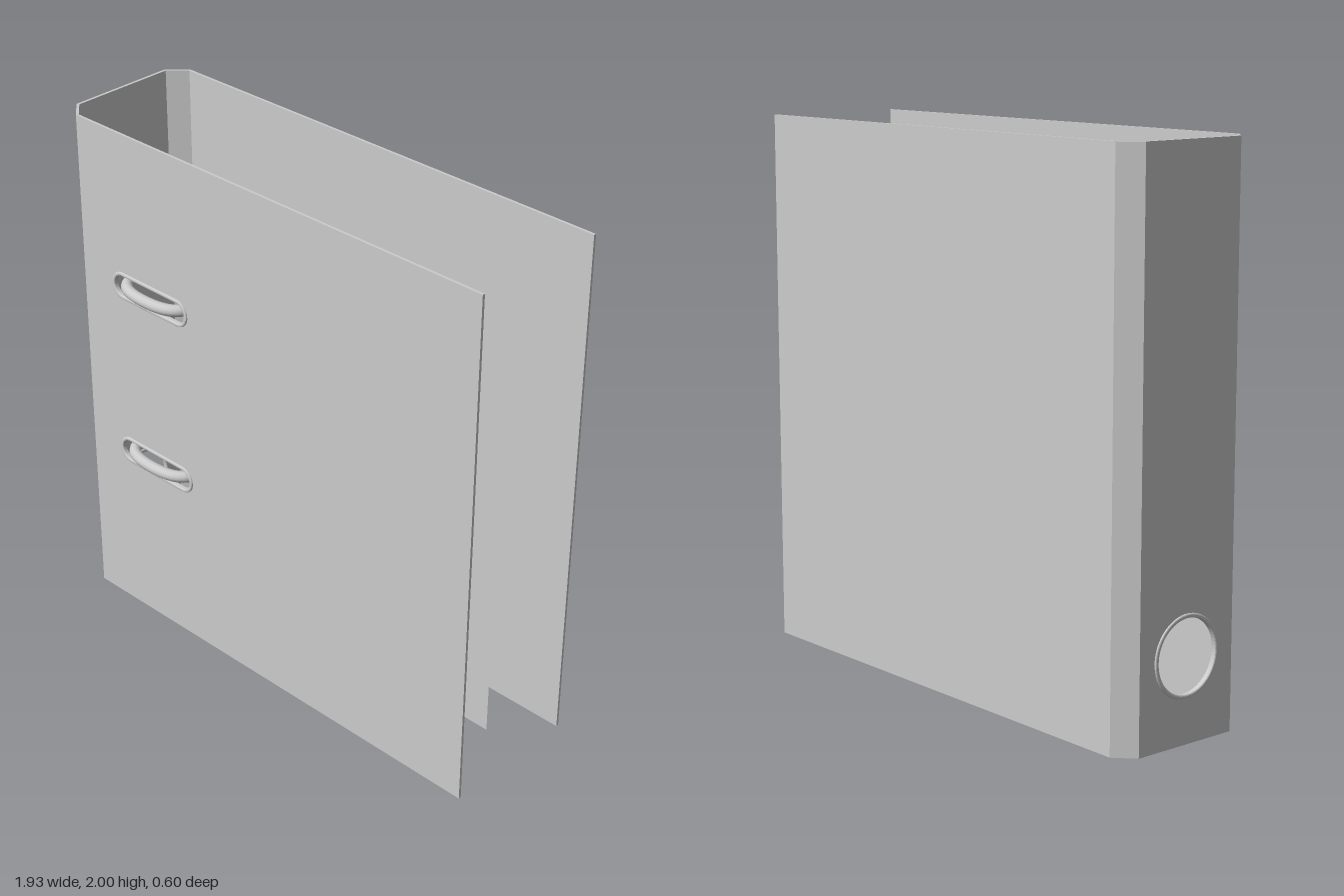
import * as THREE from 'three';

const HEIGHT = 2, BOARD = 0.01;
const RING_X = -0.546, RING_YS = [0.7, 1.4], RING_Z = 0.03;
const MID_Z = -0.023, HOLE_Y = 0.305;

const grey = new THREE.MeshStandardMaterial({ color: 0xcccccc });
const greyDouble = new THREE.MeshStandardMaterial({ color: 0xcccccc, side: THREE.DoubleSide });

function add(parent, name, geometry, material = grey) {
  const mesh = new THREE.Mesh(geometry, material);
  mesh.name = name;
  parent.add(mesh);
  return mesh;
}

// Stadium outline; equal half sizes give a circle
function stadium(target, cx, cy, halfW, halfH) {
  const d = halfW - halfH;
  target.absarc(cx + d, cy, halfH, -Math.PI / 2, Math.PI / 2, false);
  target.absarc(cx - d, cy, halfH, Math.PI / 2, Math.PI * 1.5, false);
  target.closePath();
  return target;
}

// Upright board between two plan points [x, z], outer face on the line
function board(parent, name, [x0, z0], [x1, z1], holes = []) {
  const w = Math.hypot(x1 - x0, z1 - z0);
  const shape = new THREE.Shape();
  shape.moveTo(0, 0).lineTo(w, 0).lineTo(w, HEIGHT).lineTo(0, HEIGHT).closePath();
  for (const h of holes) shape.holes.push(stadium(new THREE.Path(), ...h));
  const geometry = new THREE.ExtrudeGeometry(shape, { depth: BOARD, bevelEnabled: false, curveSegments: 16 });
  geometry.translate(0, 0, -BOARD);
  const mesh = add(parent, name, geometry);
  mesh.position.set(x0, 0, z0);
  mesh.rotation.y = Math.atan2(z0 - z1, x1 - x0);
}

// Metal eyelet with softened edges, centred on its own origin
function eyelet(outerW, outerH, rim) {
  const shape = stadium(new THREE.Shape(), 0, 0, outerW, outerH);
  shape.holes.push(stadium(new THREE.Path(), 0, 0, outerW - rim, outerH - rim));
  const b = 0.005;
  const geometry = new THREE.ExtrudeGeometry(shape, {
    depth: 0.011, bevelThickness: b, bevelSize: b, bevelOffset: -b, bevelSegments: 2, curveSegments: 16,
  });
  return geometry.translate(0, 0, -0.0055);
}

// Closed ring path in plan: straight legs with softly curved ends
function ringPath() {
  const path = new THREE.CurvePath();
  const w = 0.156, l = 0.245, s = 0.14;
  const v = (x, z) => new THREE.Vector3(x, 0, z);
  path.add(new THREE.LineCurve3(v(w, -s), v(w, s)));
  path.add(new THREE.CubicBezierCurve3(v(w, s), v(w, 0.22), v(0.1, l), v(0, l)));
  path.add(new THREE.CubicBezierCurve3(v(0, l), v(-0.1, l), v(-w, 0.22), v(-w, s)));
  path.add(new THREE.LineCurve3(v(-w, s), v(-w, -s)));
  path.add(new THREE.CubicBezierCurve3(v(-w, -s), v(-w, -0.22), v(-0.1, -l), v(0, -l)));
  path.add(new THREE.CubicBezierCurve3(v(0, -l), v(0.1, -l), v(w, -0.22), v(w, -s)));
  return path;
}

export function createModel() {
  const model = new THREE.Group();
  model.name = 'ringBinder';

  // Cover: back board, chamfered spine and front board
  const cover = new THREE.Group();
  cover.name = 'cover';
  model.add(cover);
  const plan = [[0.965, -0.3], [-0.893, -0.3], [-0.962, -0.235], [-0.962, 0.187], [-0.893, 0.25], [0.965, 0.25]];
  const names = ['backCover', 'backSpineFold', 'spine', 'frontSpineFold', 'frontCover'];
  const holes = {
    spine: [[MID_Z - plan[2][1], HOLE_Y, 0.138, 0.138]],
    frontCover: RING_YS.map((y) => [RING_X - plan[4][0], y, 0.186, 0.046]),
  };
  names.forEach((name, i) => board(cover, name, plan[i], plan[i + 1], holes[name]));

  // Finger hole eyelet in the spine
  const finger = add(model, 'fingerHoleEyelet', eyelet(0.146, 0.146, 0.016));
  finger.position.set(-0.957, HOLE_Y, MID_Z);
  finger.rotation.y = -Math.PI / 2;

  // Rings, each passing through an eyelet in the front cover
  const ringGeometry = new THREE.TubeGeometry(ringPath(), 72, 0.022, 12, true);
  const slotGeometry = eyelet(0.194, 0.054, 0.014);
  for (const y of RING_YS) {
    add(model, 'bindingRing', ringGeometry).position.set(RING_X, y, RING_Z);
    add(model, 'ringSlotEyelet', slotGeometry).position.set(RING_X, y, 0.246);
  }

  // Paper sheet held by the rings
  const sheet = add(model, 'paperSheet', new THREE.PlaneGeometry(1.3, 1.84), greyDouble);
  sheet.position.set(0.205, 1, MID_Z);

  return model;
}
